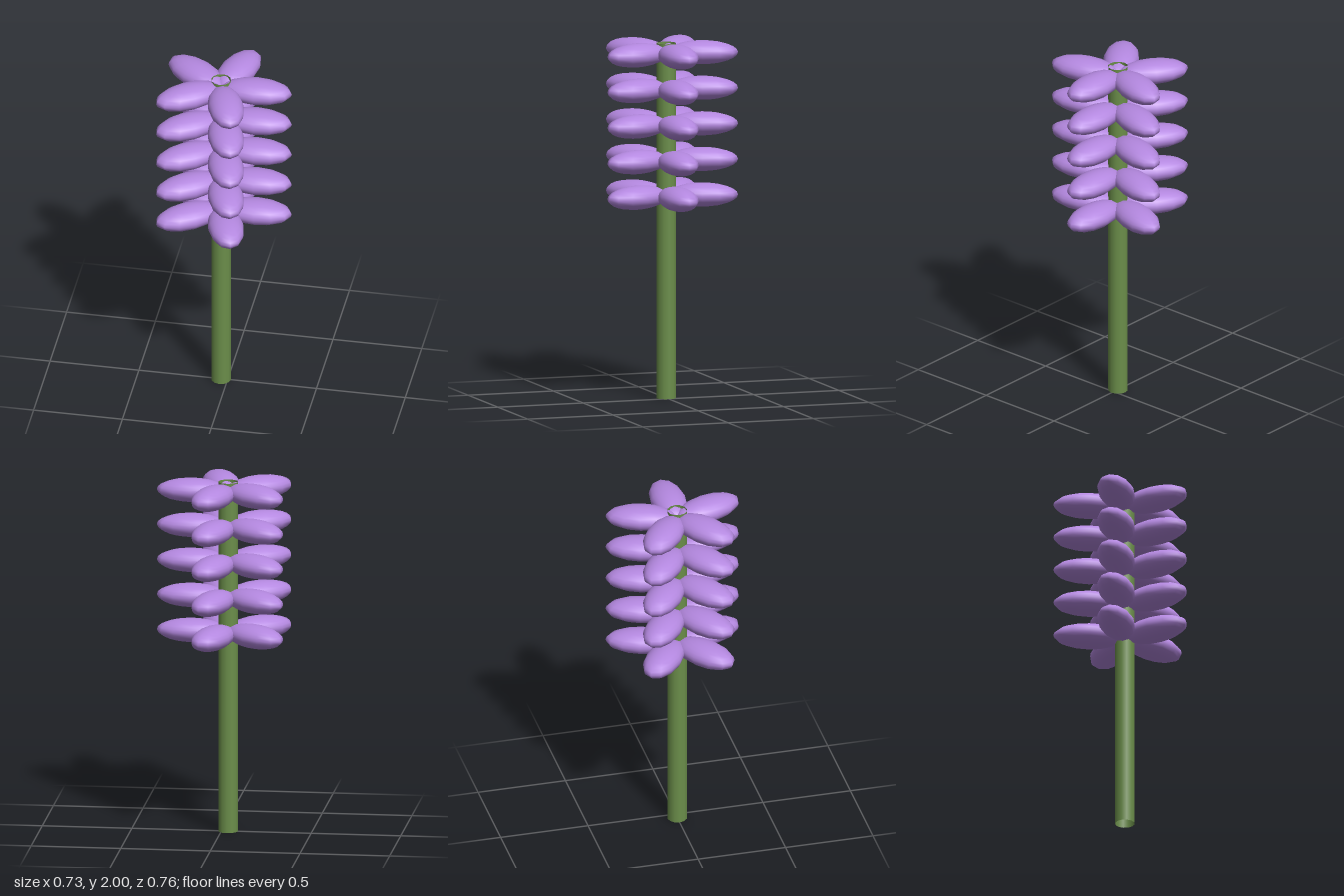
import * as THREE from 'three';

export function createModel() {
  const model = new THREE.Group();
  model.name = 'flowerSpike';

  const stemGreen = new THREE.MeshStandardMaterial({ color: 0x6b8e4a, side: THREE.DoubleSide });
  stemGreen.name = 'stem green';
  const petalPurple = new THREE.MeshStandardMaterial({ color: 0xb488e0 });
  petalPurple.name = 'petal purple';

  const axisX = -0.037;
  const stemHeight = 1.985;

  // Hollow stem, open at both ends
  const stem = new THREE.Mesh(
    new THREE.CylinderGeometry(0.055, 0.055, stemHeight, 12, 1, true), stemGreen);
  stem.name = 'stem';
  stem.position.set(axisX, stemHeight / 2, 0);
  model.add(stem);

  // One petal reaching outward from the stem axis
  const petalGeometry = new THREE.SphereGeometry(1, 12, 12);
  petalGeometry.scale(0.199, 0.066, 0.099);
  petalGeometry.translate(0.199, 0, 0);

  // Five whorls of five petals
  for (let level = 0; level < 5; level++) {
    const whorl = new THREE.Group();
    whorl.name = `whorl${level + 1}`;
    whorl.position.set(axisX, 1.137 + level * 0.199, 0);
    for (let i = 0; i < 5; i++) {
      const petal = new THREE.Mesh(petalGeometry, petalPurple);
      petal.name = 'petal';
      petal.rotation.y = (i * Math.PI * 2) / 5;
      whorl.add(petal);
    }
    model.add(whorl);
  }
  return model;
}
